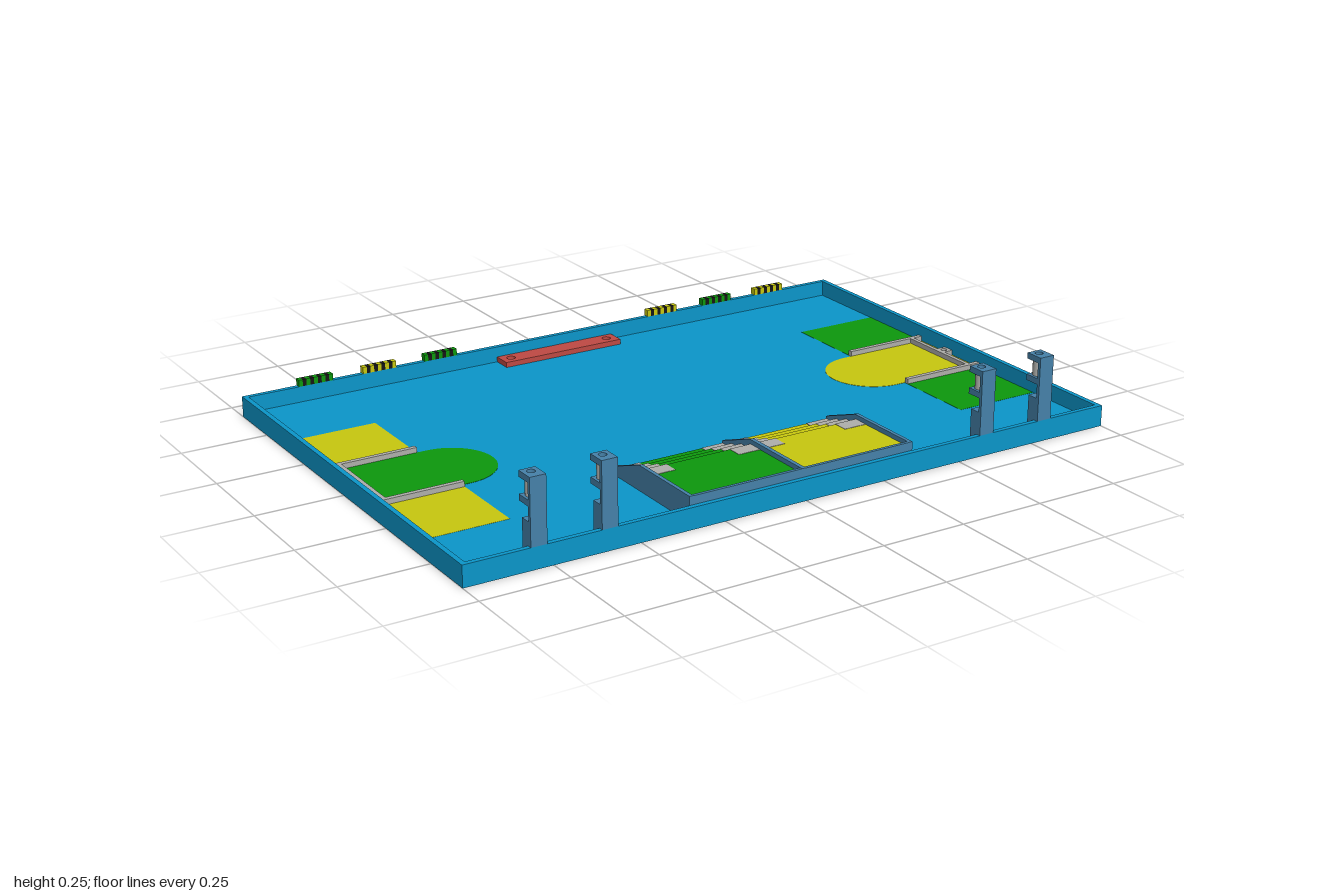
import * as THREE from 'three';

const paint = (color) => new THREE.MeshStandardMaterial({ color, side: THREE.DoubleSide });
const BLUE = paint(0x0b97cb), YELLOW = paint(0xc9c90f), GREEN = paint(0x0d990d);
const STEEL = paint(0x4682aa), GREY = paint(0xb0b0ac), RED = paint(0xc04a44), BLACK = paint(0x151515);
const T = 0.0145; // board thickness

export function createModel() {
  const root = new THREE.Group();

  const add = (name, geometry, material, parent = root) => {
    const mesh = new THREE.Mesh(geometry, material);
    mesh.name = name;
    parent.add(mesh);
    return mesh;
  };
  // Box given by its limits on each axis
  const box = (name, x0, x1, y0, y1, z0, z1, material, parent) => {
    const g = new THREE.BoxGeometry(x1 - x0, y1 - y0, z1 - z0);
    g.translate((x0 + x1) / 2, (y0 + y1) / 2, (z0 + z1) / 2);
    return add(name, g, material, parent);
  };
  // Plan outline (x, z) extruded from y0 to y1
  const slab = (name, shape, y0, y1, material, parent) => {
    const g = new THREE.ExtrudeGeometry(shape, { depth: y1 - y0, bevelEnabled: false, curveSegments: 24 });
    g.rotateX(Math.PI / 2).translate(0, y1, 0);
    return add(name, g, material, parent);
  };
  // Side profile of [z, y] points extruded across x
  const profile = (name, points, x0, x1, material, parent) => {
    const shape = new THREE.Shape(points.map(([z, y]) => new THREE.Vector2(-z, y)));
    const g = new THREE.ExtrudeGeometry(shape, { depth: x1 - x0, bevelEnabled: false });
    g.rotateY(Math.PI / 2).translate(x0, 0, 0);
    return add(name, g, material, parent);
  };
  const rect = (x0, x1, z0, z1) => new THREE.Shape([
    new THREE.Vector2(x0, z0), new THREE.Vector2(x1, z0), new THREE.Vector2(x1, z1), new THREE.Vector2(x0, z1)]);
  const drill = (shape, x, z, r) => {
    shape.holes.push(new THREE.Path().absarc(x, z, r, 0, Math.PI * 2, true));
    return shape;
  };

  // Table floor and its four walls
  box('floor', -0.99, 0.99, 0.0005, T, -0.66, 0.66, BLUE);
  for (const s of [-1, 1]) {
    const wx = s * (1 - T / 2), wz = s * (0.667 - T / 2);
    box('endWall', wx - T / 2, wx + T / 2, 0, 0.061, -0.667, 0.667, BLUE);
    box('longWall', -1 + T, 1 - T, 0, 0.061, wz - T / 2, wz + T / 2, BLUE);
  }

  // Starting areas at each end, with swapped colours
  for (const s of [-1, 1]) {
    const area = new THREE.Group();
    area.name = s < 0 ? 'rightStartArea' : 'leftStartArea';
    area.rotation.y = s < 0 ? 0 : Math.PI;
    root.add(area);
    const [main, flank] = s < 0 ? [GREEN, YELLOW] : [YELLOW, GREEN];
    const tongue = new THREE.Shape();
    tongue.moveTo(-0.985, -0.132);
    tongue.lineTo(-0.695, -0.132);
    tongue.absarc(-0.695, 0, 0.132, -Math.PI / 2, Math.PI / 2, false);
    tongue.lineTo(-0.985, 0.132);
    slab('startTongue', tongue, 0, T + 0.0008, main, area);
    for (const m of [-1, 1]) {
      const z = m * 0.262, r = m * 0.139;
      box('sideField', -0.985, -0.722, 0.0002, T + 0.0005, z - 0.13, z + 0.13, flank, area);
      box('sideRail', -0.985, -0.722, T, 0.03, r - 0.007, r + 0.007, GREY, area);
    }
    box('crossRail', -0.956, -0.944, T, 0.03, -0.132, 0.132, GREY, area);
    slab('railHolder', drill(rect(-0.985, -0.956, -0.018, 0.018), -0.968, 0, 0.009), T, 0.03, GREY, area);
  }

  // Twin staircase
  const stairs = new THREE.Group();
  stairs.name = 'staircase';
  root.add(stairs);
  // Stepped outline; lift raises it and back sets where it ends
  const stepPoints = (lift, back) => {
    const p = [[0.278, T]];
    for (let i = 0; i < 4; i++) {
      const z = 0.278 + i * 0.0455 - lift, y = T * (i + 2) + lift;
      p.push([z, y], [i < 3 ? z + 0.0455 : back, y]);
    }
    p.push([back, T]);
    return p;
  };
  const cheek = [[0.276, T], [0.276, 0.037], [0.41, 0.086], [0.6525, 0.086], [0.6525, T]];
  for (const s of [-1, 1]) {
    const at = (name, a, b, points, material) =>
      profile(name, points, Math.min(s * a, s * b), Math.max(s * a, s * b), material, stairs);
    at('steps', 0.006, 0.339, stepPoints(0, 0.643), s < 0 ? GREEN : YELLOW);
    at('innerStepTrim', 0.006, 0.073, stepPoints(0.001, 0.459), GREY);
    at('outerStepTrim', 0.27, 0.339, stepPoints(0.001, 0.459), GREY);
    at('sideCheek', 0.339, 0.35, cheek, STEEL);
  }
  profile('middleCheek', cheek, -0.006, 0.006, STEEL, stairs);
  box('stairBackBoard', -0.349, 0.349, T, 0.0855, 0.643, 0.6525, STEEL, stairs);

  // Dispenser towers on the front wall
  for (const x of [-0.79, -0.59, 0.59, 0.79]) {
    const tower = new THREE.Group();
    tower.name = 'dispenser';
    tower.position.x = x;
    root.add(tower);
    const w = 0.023;
    box('towerBase', -w, w, T, 0.126, 0.625, 0.657, STEEL, tower);
    box('towerBack', -w, w, 0.061, 0.245, 0.657, 0.667, STEEL, tower);
    slab('lowerShelf', drill(rect(-w, w, 0.612, 0.657), 0, 0.633, 0.011), 0.166, 0.183, STEEL, tower);
    slab('upperShelf', drill(rect(-w, w, 0.612, 0.657), 0, 0.633, 0.011), 0.228, 0.245, STEEL, tower);
    add('dispenserTube', new THREE.CylinderGeometry(0.016, 0.016, 0.045, 24, 1, true), GREY, tower)
      .position.set(0, 0.2055, 0.633);
  }

  // Striped clappers along the back wall
  [-0.78, -0.58, -0.383, 0.38, 0.58, 0.775].forEach((x, n) => {
    const clapper = new THREE.Group();
    clapper.name = 'clapper';
    clapper.position.x = x;
    root.add(clapper);
    const color = [GREEN, YELLOW, GREEN, YELLOW, GREEN, YELLOW][n], w = 0.105 / 9;
    for (let i = 0; i < 9; i++) {
      const x0 = -0.0525 + i * w;
      box('clapperStripe', x0, x0 + w, 0.061, 0.081, -0.671, -0.652, i % 2 ? BLACK : color, clapper);
    }
  });

  // Red shelf with two holes by the back wall
  const shelf = drill(drill(rect(-0.197, 0.195, -0.6525, -0.594), -0.165, -0.625, 0.013), 0.163, -0.625, 0.013);
  slab('redShelf', shelf, T, 0.03, RED);

  return root;
}
